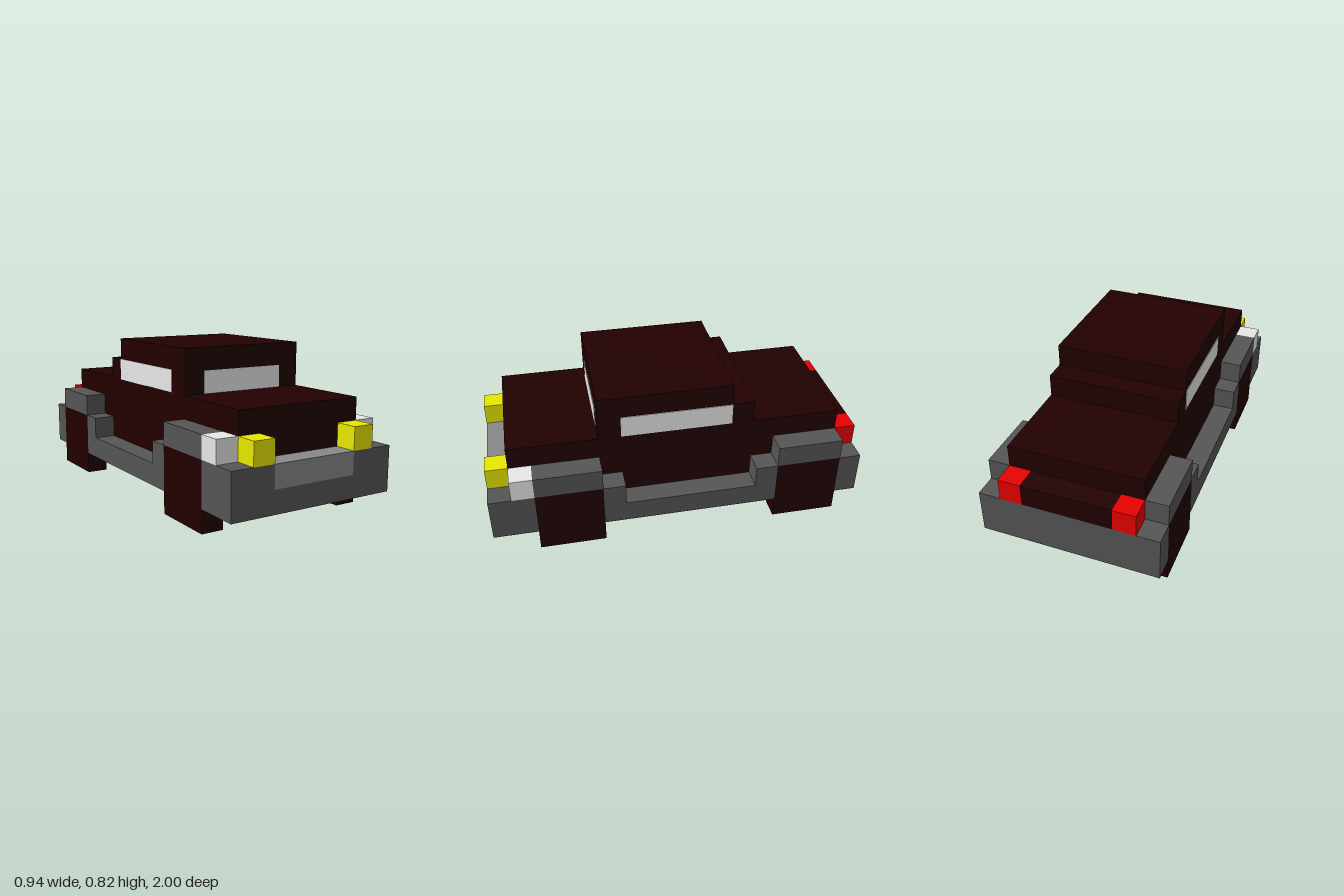
import * as THREE from 'three';

const U = 2 / 17; // one block

const makeMaterial = (name, color) => {
  const m = new THREE.MeshStandardMaterial({ color });
  m.name = name;
  return m;
};

export function createModel() {
  const car = new THREE.Group();
  car.name = 'blockCar';

  const paint = makeMaterial('darkPaint', 0x220000);
  const rubber = paint;
  const trim = makeMaterial('greyTrim', 0x555555);
  const grilleGrey = makeMaterial('grilleGrey', 0x888888);
  const white = makeMaterial('white', 0xffffff);
  const yellow = makeMaterial('yellowLight', 0xffff00);
  const red = makeMaterial('redLight', 0xff0000);

  // Box from its lower and upper limits, in blocks
  const block = (name, mat, [x0, x1], [y0, y1], [z0, z1]) => {
    const geo = new THREE.BoxGeometry((x1 - x0) * U, (y1 - y0) * U, (z1 - z0) * U);
    const mesh = new THREE.Mesh(geo, mat);
    mesh.position.set((x0 + x1) / 2 * U, (y0 + y1) / 2 * U, (z0 + z1) / 2 * U);
    mesh.name = name;
    car.add(mesh);
  };
  // The same box on both sides
  const pair = (name, mat, [x0, x1], y, z) => {
    block(name + 'Left', mat, [x0, x1], y, z);
    block(name + 'Right', mat, [-x1, -x0], y, z);
  };

  // Body and cabin
  block('hull', paint, [-3, 3], [2, 5], [-7.5, 7.5]);
  block('cabin', paint, [-3, 3], [5, 7], [-2.5, 3.5]);
  block('cabinRearStep', paint, [-3, 3], [5, 6], [-3.5, -2.5]);
  block('tailPanel', paint, [-2, 2], [3, 4], [-8.5, -7.5]);

  // Windows, as thin plates
  const t = 0.03;
  block('windshield', white, [-2, 2], [5, 6], [3.5, 3.5 + t]);
  pair('sideWindow', white, [3, 3 + t], [5, 6], [-2.5, 2.5]);

  // Bumpers and grille
  block('frontBumper', trim, [-4, 4], [1, 2], [7.5, 8.5]);
  pair('frontBumperTop', trim, [2, 4], [2, 3], [7.5, 8.5]);
  pair('frontBumperEnd', trim, [3, 4], [1, 3], [6.5, 7.5]);
  block('grille', grilleGrey, [-2, 2], [2, 3], [7.5, 8.5]);
  block('rearBumper', trim, [-4, 4], [1, 3], [-8.5, -7.5]);

  // Running boards
  pair('runningBoard', trim, [3, 4], [1, 2], [-4.5, 3.5]);
  pair('frontStep', trim, [3, 4], [2, 3], [2.5, 3.5]);
  pair('rearStep', trim, [3, 4], [2, 3], [-4.5, -3.5]);

  // Wheels with their fenders
  for (const [end, z] of [['front', [3.5, 6.5]], ['rear', [-7.5, -4.5]]]) {
    pair(end + 'Wheel', rubber, [3, 4], [0, 3], z);
    pair(end + 'Fender', trim, [3, 4], [3, 4], z);
  }

  // Lights
  pair('headlight', yellow, [2, 3], [3, 4], [7.5, 8.5]);
  pair('sideLight', white, [3, 4], [3, 4], [6.5, 7.5]);
  pair('tailLight', red, [2, 3], [3, 4], [-8.5, -7.5]);

  return car;
}
